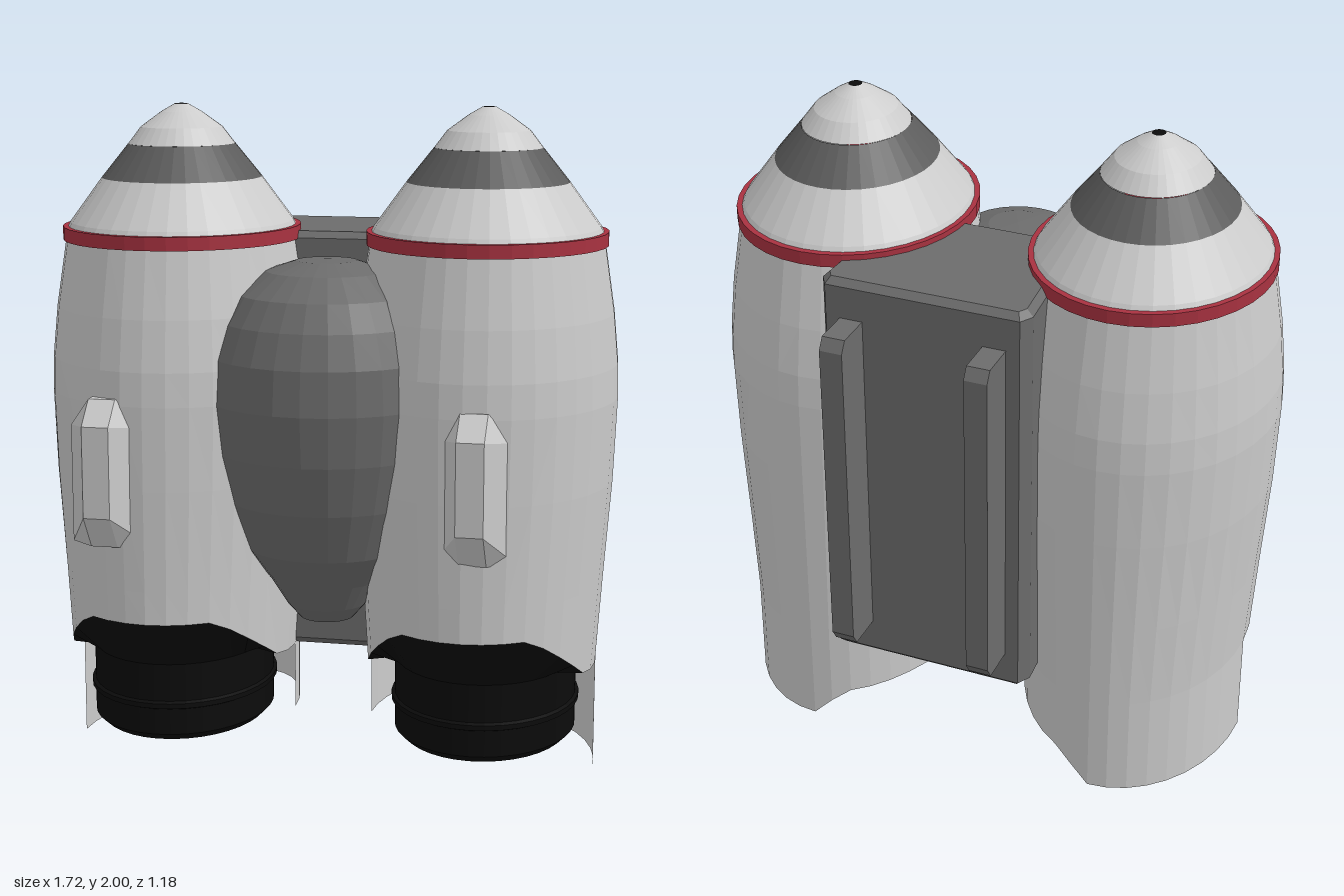
import * as THREE from 'three';
import { ConvexGeometry } from 'three/addons/geometries/ConvexGeometry.js';

const mat = (color) => new THREE.MeshStandardMaterial({ color, flatShading: true, side: THREE.DoubleSide });
const V2 = (pts) => pts.map(([x, y]) => new THREE.Vector2(x, y));

// Piecewise linear lookup in [[key, value...], ...]
function lerpTable(table, t, k = 1) {
  if (t <= table[0][0]) return table[0][k];
  for (let i = 1; i < table.length; i++) {
    const a = table[i - 1], b = table[i];
    if (t <= b[0]) return a[k] + (b[k] - a[k]) * (t - a[0]) / (b[0] - a[0]);
  }
  return table[table.length - 1][k];
}

// Surface from a grid of points fn(i, j)
function grid(nu, nv, flip, fn) {
  const pos = [], idx = [];
  for (let j = 0; j <= nv; j++) for (let i = 0; i <= nu; i++) pos.push(...fn(i, j));
  for (let j = 0; j < nv; j++) for (let i = 0; i < nu; i++) {
    const a = j * (nu + 1) + i, b = a + 1, c = b + nu + 1, d = a + nu + 1;
    idx.push(...(flip ? [a, c, b, a, d, c] : [a, b, c, a, c, d]));
  }
  const g = new THREE.BufferGeometry();
  g.setAttribute('position', new THREE.Float32BufferAttribute(pos, 3));
  g.setIndex(idx);
  g.computeVertexNormals();
  return g;
}

// Tank radii by height: y, rx, rz
const TANK = [[0, 0.345, 0.46], [0.33, 0.345, 0.46], [0.6, 0.363, 0.46], [0.9, 0.385, 0.46],
  [1.15, 0.395, 0.458], [1.25, 0.392, 0.452], [1.4, 0.378, 0.43], [1.6, 0.348, 0.39]];
// Height of the lower lip by angle from the front (degrees)
const LIP = [[0, 0.5], [33, 0.5], [50, 0.43], [72, 0.335], [90, 0.33]];
const SEG = 36;

export function createModel() {
  const model = new THREE.Group();
  model.name = 'jetpack';
  const grey = mat(0xcccccc), dark = mat(0x6c6c6c), band = mat(0x5c5c5c);
  const red = mat(0xa83240), black = mat(0x0b0b0b);

  const add = (parent, name, geo, material) => {
    const m = new THREE.Mesh(geo, material);
    m.name = name;
    parent.add(m);
    return m;
  };
  const oval = (parent, name, pts, material, sz) => {
    const m = add(parent, name, new THREE.LatheGeometry(V2(pts), SEG), material);
    m.scale.z = sz;
    return m;
  };

  for (const s of [1, -1]) {
    const side = s > 0 ? 'left' : 'right';
    const tank = new THREE.Group();
    tank.name = side + 'Tank';
    tank.position.set(s * 0.467, 0, 0.045);
    model.add(tank);

    const wall = (a, y) => [s * lerpTable(TANK, y, 1) * Math.sin(a), y, lerpTable(TANK, y, 2) * Math.cos(a)];
    const lip = (a) => lerpTable(LIP, Math.acos(Math.cos(a)) * 180 / Math.PI);
    const ang = (i) => i / SEG * Math.PI * 2;

    // Body shell with the arched cut over the nozzle
    const heights = [0, 0.6, 0.9, 1.15, 1.25, 1.4, 1.6];
    add(tank, 'tankBody', grid(SEG, heights.length - 1, s < 0,
      (i, j) => wall(ang(i), j ? heights[j] : lip(ang(i)))), grey);

    // Skirt around the rear half, shorter on the inner side
    add(tank, 'rearSkirt', grid(SEG / 2, 1, s < 0, (i, j) => {
      const a = Math.PI / 2 + ang(i);
      const low = lerpTable([[-0.28, 0.125], [-0.1, 0.1], [0, 0]], 0.345 * Math.sin(a));
      return wall(a, j ? 0.33 : low);
    }), grey);

    // Black collar joining the lip to the nozzle
    add(tank, 'nozzleCollar', grid(SEG, 1, s < 0, (i, j) => {
      const a = ang(i);
      return j ? wall(a, lip(a)) : [s * (0.011 + 0.275 * Math.sin(a)), 0.345, 0.347 * Math.cos(a)];
    }), black);

    // Nozzle with a raised hoop
    oval(tank, 'nozzle', [[0, 0.1], [0.25, 0.1], [0.275, 0.125], [0.275, 0.205], [0.285, 0.21],
      [0.285, 0.225], [0.275, 0.23], [0.275, 0.36], [0, 0.36]], black, 1.26).position.x = s * 0.011;

    // Red ring and banded nose cone
    oval(tank, 'trimRing', [[0.33, 1.597], [0.357, 1.597], [0.357, 1.637], [0.33, 1.637]], red, 1.125);
    oval(tank, 'noseBase', [[0.345, 1.63], [0.335, 1.65], [0.24, 1.78]], grey, 1.12);
    oval(tank, 'noseBand', [[0.24, 1.78], [0.16, 1.88]], band, 1.12);
    oval(tank, 'noseTop', [[0.16, 1.88], [0.122, 1.93], [0.06, 1.975], [0.02, 1.998]], grey, 1.1);
    oval(tank, 'noseTip', [[0.02, 1.998], [0, 2]], black, 1.1);

    // Faceted block on the front of the tank
    const pts = [];
    for (const m of [1, -1]) {
      for (const [x, y, z] of [[0.04, 0.83, 0.57], [0.04, 1.1, 0.57], [0.04, 1.17, 0.5],
        [0.115, 1.08, 0.44], [0.115, 0.73, 0.44], [0.04, 0.73, 0.5], [0.04, 1.17, 0.4], [0.1, 0.73, 0.4]])
        pts.push(new THREE.Vector3(m * x, y, z));
    }
    add(model, side + 'FrontBlock', new ConvexGeometry(pts), grey).position.x = s > 0 ? 0.5 : -0.588;
  }

  // Egg-shaped centre pod
  const pod = add(model, 'centrePod', new THREE.LatheGeometry(V2([[0, 0.47], [0.08, 0.475], [0.12, 0.52],
    [0.17, 0.6], [0.245, 0.7], [0.305, 0.85], [0.345, 1.0], [0.363, 1.15], [0.352, 1.28], [0.315, 1.38],
    [0.265, 1.46], [0.18, 1.525], [0.09, 1.555], [0, 1.56]]), 28), dark);
  pod.position.set(0.014, 0, 0.2);

  // Back plate joining the tanks, chamfered all round
  const plate = new THREE.ExtrudeGeometry(new THREE.Shape(V2([[-0.27, -0.02], [0.27, -0.02], [0.3, 0.4],
    [0.285, 0.425], [-0.285, 0.425], [-0.3, 0.4]])),
  { depth: 1.25, bevelEnabled: true, bevelThickness: 0.02, bevelSize: 0.02, bevelSegments: 1 });
  plate.rotateX(-Math.PI / 2);
  add(model, 'backPlate', plate, dark).position.set(0.05, 0.35, 0);

  // Two upright rails on the back
  const rail = new THREE.ExtrudeGeometry(new THREE.Shape(V2([[-0.42, 0.45], [-0.56, 0.45], [-0.582, 0.485],
    [-0.582, 1.465], [-0.56, 1.5], [-0.42, 1.5]])), { depth: 0.07, bevelEnabled: false });
  rail.rotateY(-Math.PI / 2).translate(0.035, 0, 0);
  for (const [name, x] of [['rightRail', -0.17], ['leftRail', 0.268]])
    add(model, name, rail, dark).position.x = x;

  // Slight turn of the whole pack
  model.rotation.y = 0.032;
  const root = new THREE.Group();
  root.name = 'model';
  root.add(model);
  return root;
}
